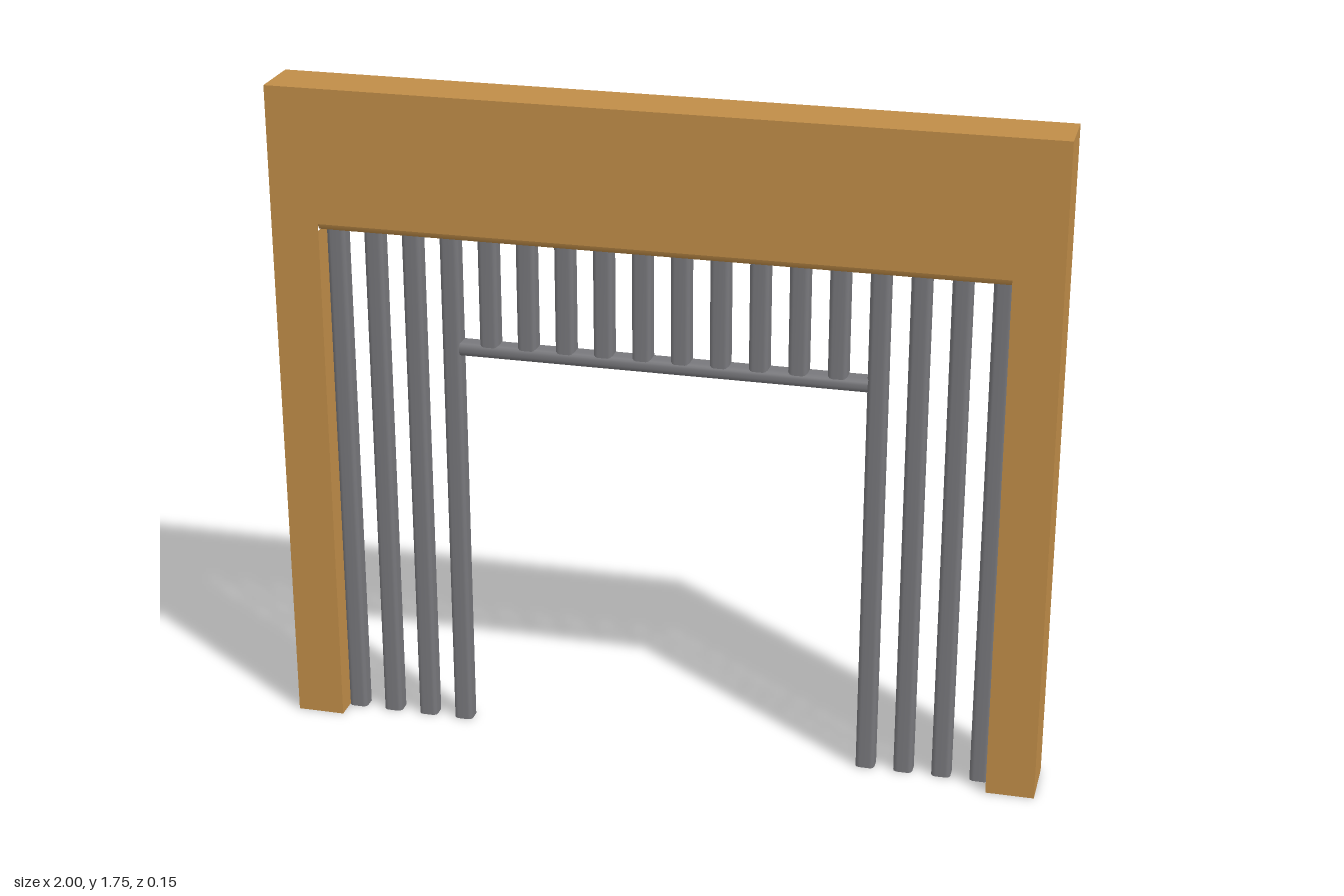
import * as THREE from 'three';

const wood = new THREE.MeshStandardMaterial({ color: 0xc08d48, side: THREE.DoubleSide });
wood.name = 'ochre frame';
const iron = new THREE.MeshStandardMaterial({ color: 0x77777b, side: THREE.DoubleSide });
iron.name = 'grey metal';

// Sweeps an open profile of [x, z] points straight up, with smooth normals
function sweep(profile, length) {
  const pos = [], index = [];
  profile.forEach(([x, z], i) => {
    pos.push(x, 0, z, x, length, z);
    if (i) {
      const a = 2 * i - 2, b = 2 * i;
      index.push(a, b, b + 1, a, b + 1, a + 1);
    }
  });
  const g = new THREE.BufferGeometry();
  g.setAttribute('position', new THREE.Float32BufferAttribute(pos, 3));
  g.setIndex(index);
  g.computeVertexNormals();
  return g;
}

// Rounded channel section, open at the back
function channel(w, back, front, r) {
  const h = w / 2, pts = [[-h, back]];
  for (const s of [-1, 1]) {
    for (let i = 0; i <= 3; i++) {
      const t = (s < 0 ? i : 3 - i) / 3 * Math.PI / 2;
      pts.push([s * (h - r + r * Math.cos(t)), front - r + r * Math.sin(t)]);
    }
  }
  pts.push([h, back]);
  return pts;
}

export function createModel() {
  const group = new THREE.Group();
  const add = (name, geo, mat, parent = group) => {
    const m = new THREE.Mesh(geo, mat);
    m.name = name;
    parent.add(m);
    return m;
  };

  const W = 1, H = 1.75, D = 0.075, IW = 0.875, IH = 1.38, LIP = 0.018;

  // Hollow frame: front face, outer shell and opening, without a back
  const frame = new THREE.Group();
  frame.name = 'frame';
  group.add(frame);
  const outline = [[-W, 0], [-IW, 0], [-IW, IH + LIP], [IW, IH + LIP], [IW, 0], [W, 0], [W, H], [-W, H]];
  const face = new THREE.Shape(outline.map(([x, y]) => new THREE.Vector2(x, y)));
  add('frameFront', new THREE.ShapeGeometry(face), wood, frame).position.z = D;

  const top = add('frameTop', new THREE.PlaneGeometry(2 * W, 2 * D), wood, frame);
  top.rotation.x = -Math.PI / 2;
  top.position.y = H;

  for (const s of [-1, 1]) {
    const side = add('frameSide', new THREE.PlaneGeometry(2 * D, H), wood, frame);
    side.rotation.y = s * Math.PI / 2;
    side.position.set(s * W, H / 2, 0);
    const reveal = add('openingSide', new THREE.PlaneGeometry(2 * D, IH), wood, frame);
    reveal.rotation.y = -s * Math.PI / 2;
    reveal.position.set(s * IW, IH / 2, 0);
  }

  // Underside of the header with a softened front edge
  const lip = [[IH, -D], [IH, D - LIP], [IH + 0.003, D - 0.009], [IH + 0.009, D - 0.003], [IH + LIP, D]];
  const header = add('openingTop', sweep(lip, 2 * IW), wood, frame);
  header.rotation.z = Math.PI / 2;
  header.position.x = IW;

  // Vertical bars: long ones at the sides, short ones above the gap
  const section = channel(0.05, -0.015, 0.024, 0.012);
  const barTop = IH + 0.03, railY = 1.072;
  const longBar = sweep(section, barTop), shortBar = sweep(section, barTop - railY);
  for (let i = 0; i < 18; i++) {
    const x = -0.85 + 0.1 * i, isLong = Math.abs(x) > 0.5;
    const bar = add(isLong ? 'longBar' : 'shortBar', isLong ? longBar : shortBar, iron);
    bar.position.set(x, isLong ? 0 : railY, 0);
  }

  // Cross rail under the short bars
  const rail = add('crossRail', sweep(channel(0.036, -0.015, 0.027, 0.014), 1.056), iron);
  rail.rotation.z = Math.PI / 2;
  rail.position.set(0.528, railY, 0);

  return group;
}
